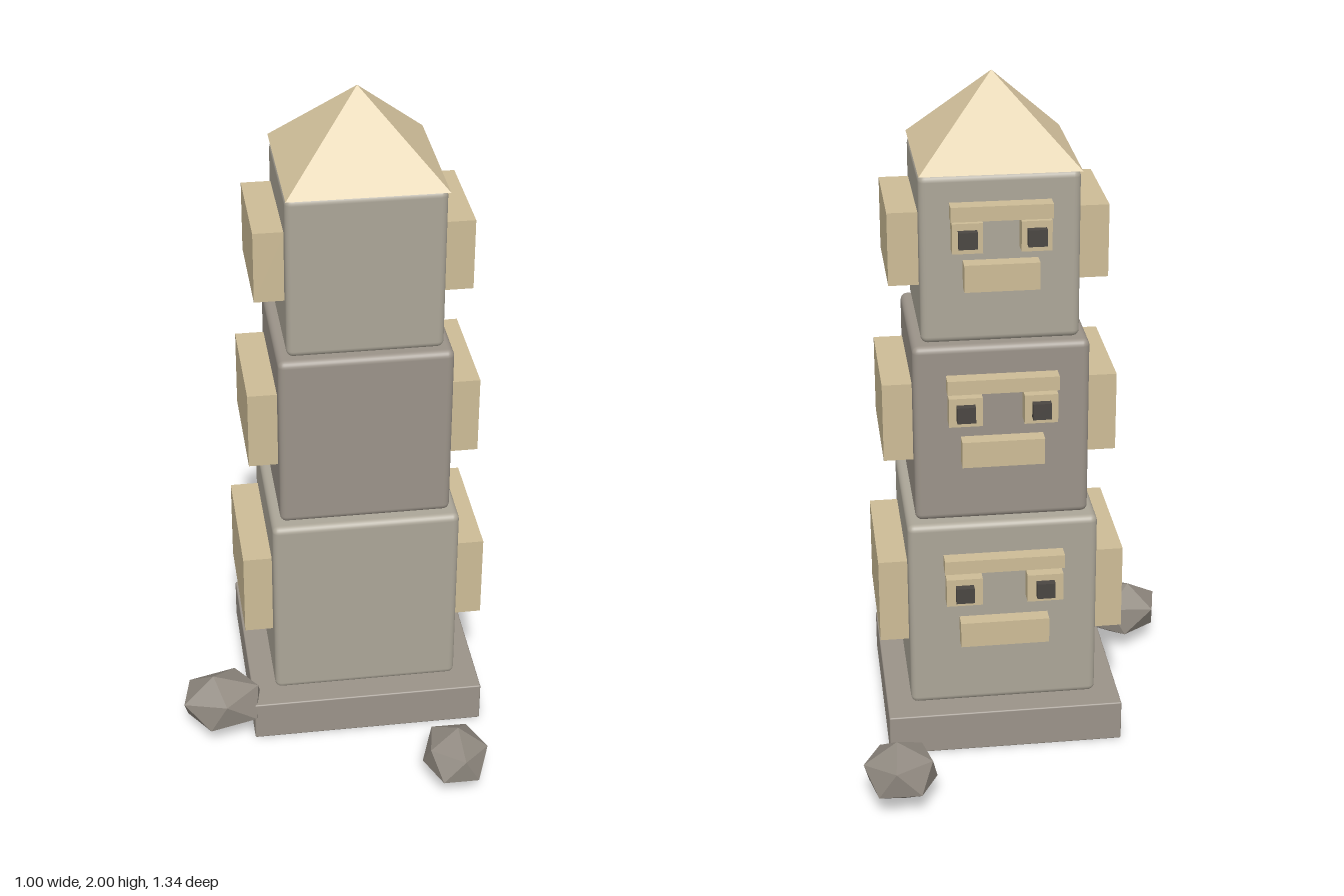
import * as THREE from 'three';
import { RoundedBoxGeometry } from 'three/addons/geometries/RoundedBoxGeometry.js';

const material = (color, flatShading = false) => new THREE.MeshStandardMaterial({ color, flatShading });
const stone = material(0xaca698);
const darkStone = material(0x9b9389);
const wood = material(0xcdbc96);
const roofWood = material(0xd8c6a0, true);
const pupilDark = material(0x4a4642);
const rockGrey = material(0x8f887f, true);

function add(parent, name, geometry, mat, x, y, z) {
  const mesh = new THREE.Mesh(geometry, mat);
  mesh.name = name;
  mesh.position.set(x, y, z);
  parent.add(mesh);
  return mesh;
}

const box = (w, h, d) => new THREE.BoxGeometry(w, h, d);

// One carved block: body, two side slabs and a face on the back (-z)
function block({ name, width, height, depth, y, mat, earY, earHeight, earDepth, brow, eye, mouth }) {
  const group = new THREE.Group();
  group.name = name;
  add(group, 'body', new RoundedBoxGeometry(width, height, depth, 3, 0.02), mat, 0, y, 0);

  const back = -depth / 2;
  add(group, 'brow', box(width * 0.63, 0.042, 0.06), wood, 0, brow, back - 0.015);
  add(group, 'mouth', box(width * 0.47, 0.079, 0.06), wood, 0, mouth, back - 0.015);

  for (const side of [-1, 1]) {
    const label = side > 0 ? 'left' : 'right';
    const eyeX = side * width * 0.213;
    add(group, label + 'Ear', box(0.09, earHeight, earDepth), wood, side * (width / 2 + 0.04), earY, 0);
    add(group, label + 'Eye', box(width * 0.19, 0.087, 0.06), wood, eyeX, eye, back - 0.015);
    add(group, label + 'Pupil', box(0.053, 0.048, 0.04), pupilDark, eyeX, eye, back - 0.047);
  }
  return group;
}

// Faceted boulder fitted to a given size
function rock(parent, name, position, size, yaw, tilt) {
  const geometry = new THREE.IcosahedronGeometry(1, 0);
  geometry.rotateX(-1.017 + tilt);
  geometry.rotateY(yaw);
  geometry.computeBoundingBox();
  const extent = geometry.boundingBox.getSize(new THREE.Vector3());
  geometry.center();
  geometry.scale(size[0] / extent.x, size[1] / extent.y, size[2] / extent.z);
  geometry.computeVertexNormals();
  add(parent, name, geometry, rockGrey, ...position);
}

export function createModel() {
  const model = new THREE.Group();
  model.name = 'totemTower';

  const tower = new THREE.Group();
  tower.name = 'tower';
  tower.position.set(0.06, 0, -0.006);
  model.add(tower);

  add(tower, 'base', new RoundedBoxGeometry(0.7, 0.126, 0.634, 1, 0.004), darkStone, 0, 0.063, 0);

  const blocks = [
    { name: 'lowerBlock', width: 0.556, height: 0.597, depth: 0.505, y: 0.43, mat: stone,
      earY: 0.46, earHeight: 0.262, earDepth: 0.404, brow: 0.611, eye: 0.528, mouth: 0.384 },
    { name: 'middleBlock', width: 0.503, height: 0.542, depth: 0.452, y: 1.003, mat: darkStone,
      earY: 1.03, earHeight: 0.236, earDepth: 0.363, brow: 1.167, eye: 1.091, mouth: 0.958 },
    { name: 'upperBlock', width: 0.448, height: 0.49, depth: 0.406, y: 1.521, mat: stone,
      earY: 1.546, earHeight: 0.212, earDepth: 0.325, brow: 1.668, eye: 1.599, mouth: 1.482 },
  ];
  for (const spec of blocks) tower.add(block(spec));

  // Four-sided pyramid roof
  const roof = new THREE.ConeGeometry(0.224 * Math.SQRT2, 0.23, 4);
  roof.rotateY(Math.PI / 4);
  add(tower, 'roof', roof, roofWood, 0, 1.885, 0);

  // Boulders scattered around the base
  rock(model, 'backRock', [0.395, 0.115, -0.573], [0.212, 0.172, 0.19], 0.5, 0.15);
  rock(model, 'sideRock', [-0.382, 0.116, 0.255], [0.242, 0.18, 0.195], 1.4, -0.2);
  rock(model, 'frontRock', [0.282, 0.095, 0.568], [0.188, 0.16, 0.202], 2.6, 0.2);

  return model;
}
